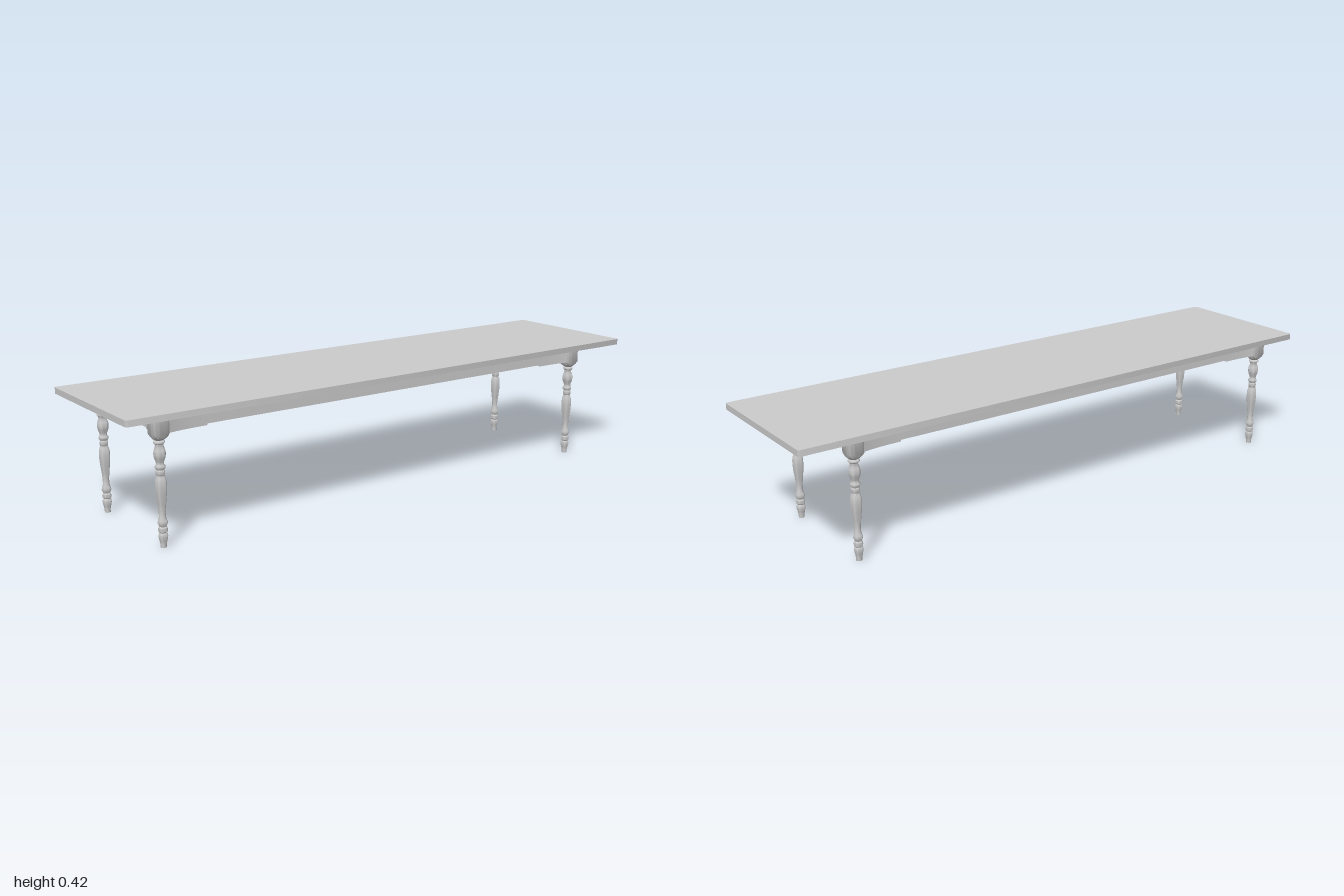
import * as THREE from 'three';
import { mergeVertices, toCreasedNormals } from 'three/addons/utils/BufferGeometryUtils.js';

const material = new THREE.MeshStandardMaterial({ color: 0xcccccc });
const LEG_X = 0.194, FRONT_Z = 0.872, BACK_Z = -0.8;
const PANEL_Y = 0.41; // underside of the recessed centre panel

function addMesh(parent, geometry, name) {
  const mesh = new THREE.Mesh(geometry, material);
  mesh.name = name;
  parent.add(mesh);
  return mesh;
}

// Extrudes a plan outline (x, z) upward from y0 to y1
function extrudePlan(shape, y0, y1) {
  const g = new THREE.ExtrudeGeometry(shape, { depth: y1 - y0, bevelEnabled: false, curveSegments: 8 });
  return toCreasedNormals(g.rotateX(-Math.PI / 2).translate(0, y0, 0), 0.6);
}

function roundedRect(w, h, r) {
  const s = new THREE.Shape();
  s.absarc(w - r, h - r, r, 0, Math.PI / 2);
  s.absarc(-w + r, h - r, r, Math.PI / 2, Math.PI);
  s.absarc(-w + r, -h + r, r, Math.PI, Math.PI * 1.5);
  s.absarc(w - r, -h + r, r, Math.PI * 1.5, Math.PI * 2);
  s.closePath();
  return s;
}

// Turned leg: a lathe whose top block is pushed out to a rounded square
function legGeometry() {
  const profile = [
    [0, 0], [0.0095, 0], [0.0095, 0.01], [0.012, 0.022], [0.0145, 0.034], [0.0135, 0.042],
    [0.0105, 0.046], [0.0135, 0.049], [0.0145, 0.055], [0.0135, 0.061], [0.0105, 0.065],
    [0.0125, 0.069], [0.0152, 0.076], [0.0135, 0.083], [0.0105, 0.094], [0.01, 0.112],
    [0.0125, 0.135], [0.0158, 0.162], [0.0175, 0.185], [0.017, 0.202], [0.0145, 0.214],
    [0.0115, 0.222], [0.0135, 0.225], [0.0135, 0.236], [0.0115, 0.239], [0.0155, 0.245],
    [0.0155, 0.25], [0.0115, 0.256], [0.0125, 0.264], [0.0165, 0.275], [0.0185, 0.287],
    [0.0165, 0.3], [0.0125, 0.31], [0.0125, 0.316], [0.0175, 0.321], [0.0175, 0.325],
    [0.013, 0.329], [0.019, 0.333], [0.0245, 0.34], [0.027, 0.349], [0.027, PANEL_Y],
  ].map(([r, y]) => new THREE.Vector2(r, y));
  let g = new THREE.LatheGeometry(profile, 32);
  const p = g.attributes.position;
  for (let i = 0; i < p.count; i++) {
    const t = THREE.MathUtils.smoothstep(p.getY(i), 0.329, 0.35);
    const a = Math.atan2(p.getZ(i), p.getX(i));
    const square = (Math.abs(Math.cos(a)) ** 5 + Math.abs(Math.sin(a)) ** 5) ** (-1 / 5);
    const k = 1 + (square - 1) * t;
    p.setXYZ(i, p.getX(i) * k, p.getY(i), p.getZ(i) * k);
  }
  g.deleteAttribute('uv');
  g.deleteAttribute('normal');
  g = mergeVertices(g, 1e-6);
  return toCreasedNormals(g, 0.9);
}

// Apron rail along local x, outer face toward +z, with flared brackets at both ends
function createApron(length, bracket) {
  const apron = new THREE.Group();
  const h = length / 2, inner = -0.01, face = 0.01, flare = 0.02;
  const rail = new THREE.BoxGeometry(length, PANEL_Y - 0.355, face - inner);
  rail.translate(0, (PANEL_Y + 0.355) / 2, 0);
  addMesh(apron, rail, 'apronRail');
  for (const side of [1, -1]) {
    const s = new THREE.Shape();
    s.moveTo(side * h, -inner);
    s.lineTo(side * h, -flare);
    s.quadraticCurveTo(side * (h - bracket * 0.35), -face, side * (h - bracket), -face);
    s.lineTo(side * (h - bracket), -inner);
    s.closePath();
    addMesh(apron, extrudePlan(s, 0.35, 0.399), 'apronBracket');
  }
  return apron;
}

export function createModel() {
  const table = new THREE.Group();
  table.name = 'table';

  // Top: a rim around a shallowly recessed underside, with a panel above it
  const top = new THREE.Group();
  top.name = 'tableTop';
  table.add(top);
  const rim = roundedRect(0.253, 1, 0.008);
  rim.holes.push(roundedRect(0.238, 0.93, 0.001));
  addMesh(top, extrudePlan(rim, 0.398, PANEL_Y), 'topRim');
  addMesh(top, extrudePlan(roundedRect(0.253, 1, 0.008), PANEL_Y, 0.418), 'topPanel');

  // Four turned legs
  const leg = legGeometry();
  for (const x of [LEG_X, -LEG_X]) {
    for (const z of [FRONT_Z, BACK_Z]) {
      addMesh(table, leg, z > 0 ? 'frontLeg' : 'backLeg').position.set(x, 0, z);
    }
  }

  // Aprons between the legs
  const midZ = (FRONT_Z + BACK_Z) / 2;
  const sideLength = FRONT_Z - BACK_Z - 0.05, endLength = LEG_X * 2 - 0.05;
  const aprons = [
    ['frontApron', endLength, 0.035, 0, FRONT_Z, 0],
    ['backApron', endLength, 0.035, 0, BACK_Z, Math.PI],
    ['leftApron', sideLength, 0.13, LEG_X, midZ, Math.PI / 2],
    ['rightApron', sideLength, 0.13, -LEG_X, midZ, -Math.PI / 2],
  ];
  for (const [name, length, bracket, x, z, turn] of aprons) {
    const apron = createApron(length, bracket);
    apron.name = name;
    apron.position.set(x, 0, z);
    apron.rotation.y = turn;
    table.add(apron);
  }
  return table;
}
